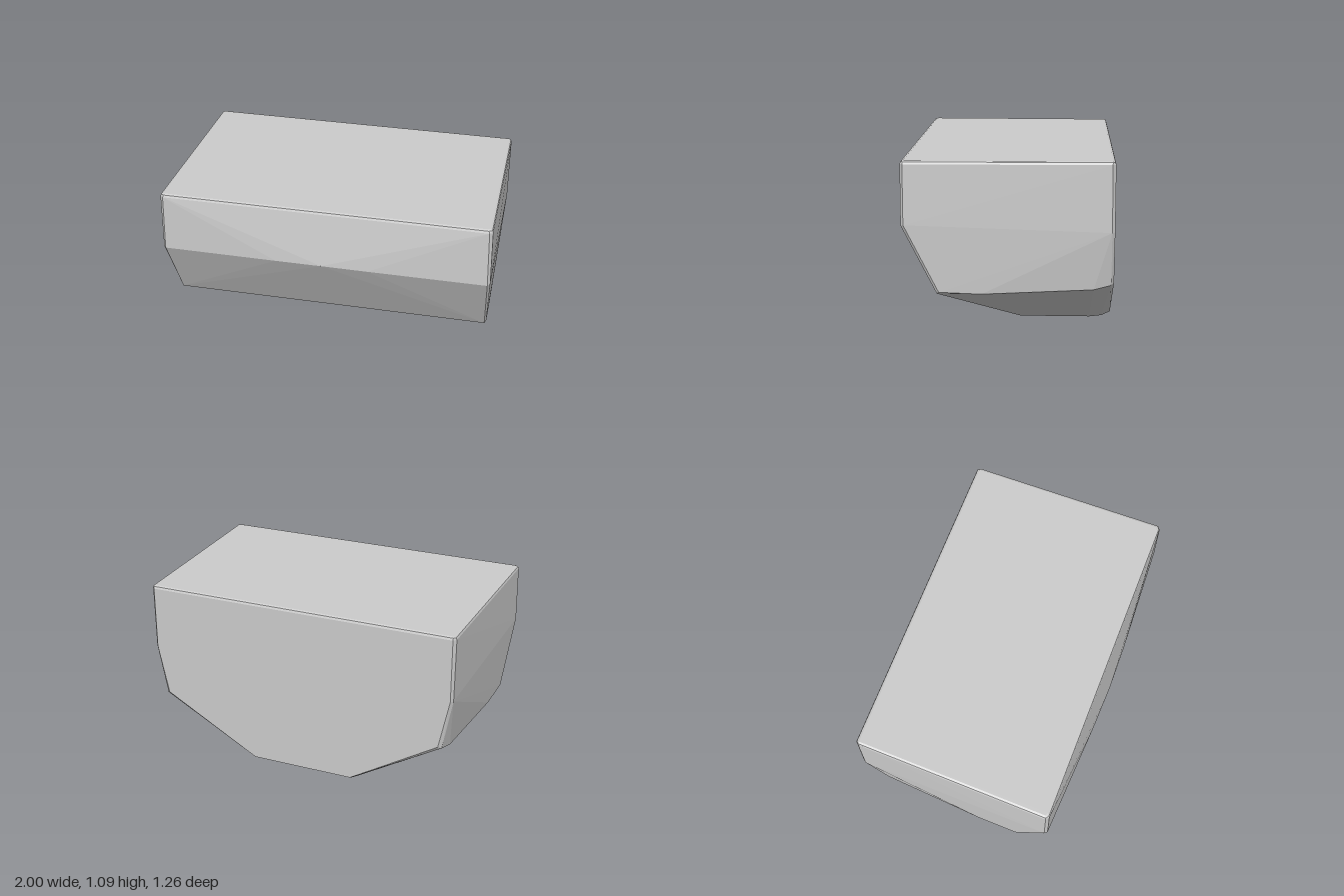
import * as THREE from 'three';
import { ConvexGeometry } from 'three/addons/geometries/ConvexGeometry.js';

export function createModel() {
  const group = new THREE.Group();
  group.name = 'facetedBlock';
  const points = [];
  const add = (x, y, z) => points.push(new THREE.Vector3(x, y, z));
  const pair = (x, y, z) => { add(x, y, z); add(-x, y, z); };

  // Rounded rim of the flat top: inset, height
  for (const [inset, y] of [[0.018, 1.085], [0.005, 1.08], [0, 1.067]]) {
    pair(0.978 - inset, y, 0.586 - inset);
    pair(0.997 - inset, y, 0.57 - inset * 0.5);
    pair(0.975 - inset, y, -0.608);
    pair(0.958, y, -0.627 + inset);
  }

  // Front: side corners and the bowed ridge across the middle
  pair(1, 0.72, 0.57);
  pair(0.985, 0.715, 0.586);
  pair(0.28, 0.737, 0.622);
  add(0, 0.742, 0.629);

  // Lower front edge and side creases
  pair(0.965, 0.315, 0.387);
  pair(0.975, 0.325, 0.375);
  pair(0.968, 0.315, 0.13);
  pair(0.972, 0.68, -0.61);
  pair(0.93, 0.338, -0.51);
  pair(0.912, 0.36, -0.61);

  // Flat back outline
  pair(0.958, 0.68, -0.627);
  pair(0.893, 0.372, -0.627);

  // Bottom, slightly off centre, with a rounded back edge
  for (const x of [0.3, -0.34]) {
    add(x, 0, -0.07);
    add(x, 0, -0.5);
    add(x, 0.009, -0.575);
    add(x, 0.035, -0.627);
  }

  const body = new THREE.Mesh(
    new ConvexGeometry(points),
    new THREE.MeshStandardMaterial({ color: 0xcccccc, flatShading: true })
  );
  body.name = 'body';
  group.add(body);
  return group;
}
